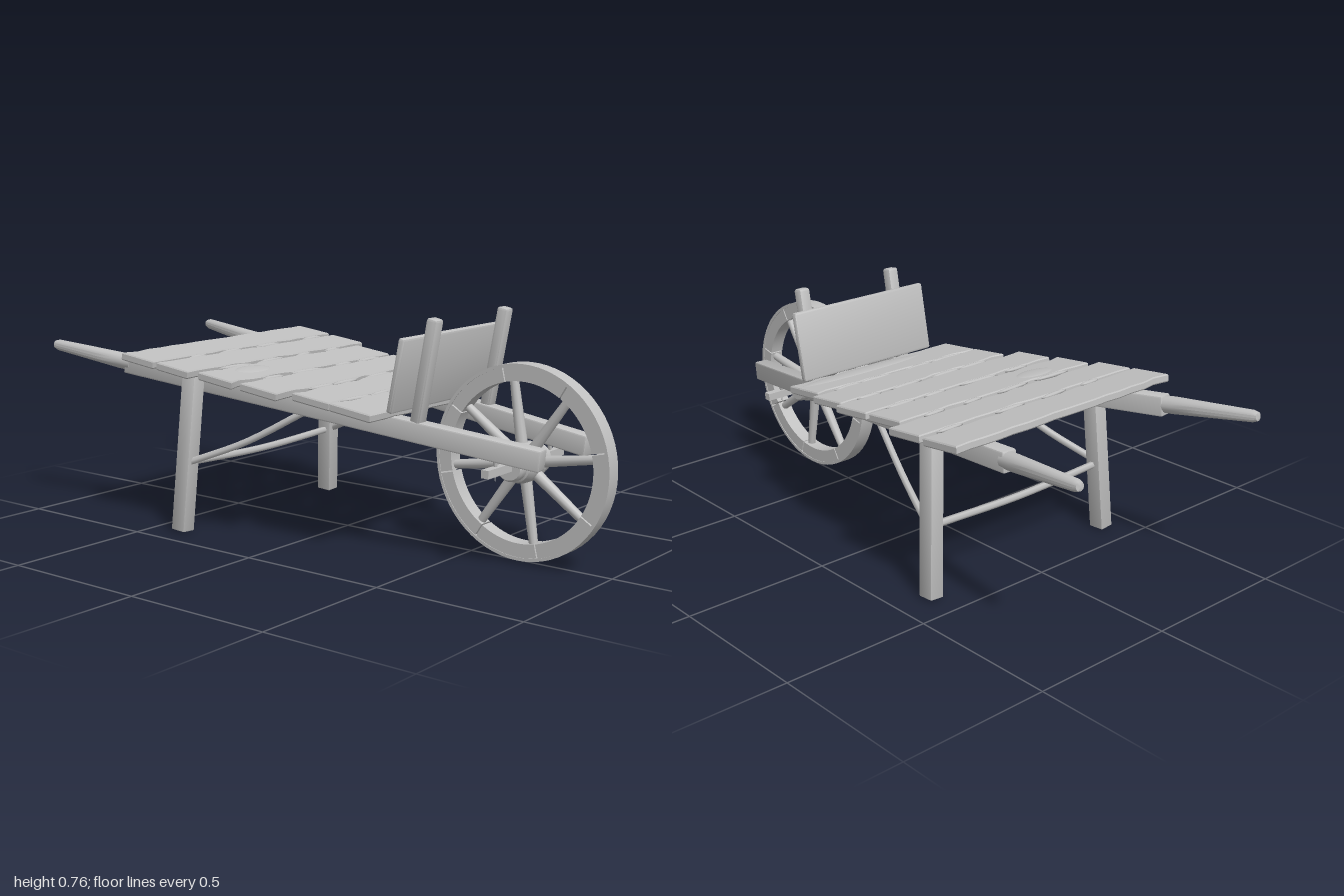
import * as THREE from 'three';
import { RoundedBoxGeometry } from 'three/addons/geometries/RoundedBoxGeometry.js';
import { toCreasedNormals } from 'three/addons/utils/BufferGeometryUtils.js';

const V = (x, y, z) => new THREE.Vector3(x, y, z);
const CX = -0.01; // the frame's mirror plane

function seeded(seed) {
  return () => {
    seed = (seed * 16807) % 2147483647;
    return seed / 2147483647;
  };
}

export function createModel() {
  const root = new THREE.Group();
  root.name = 'wheelbarrow';
  const wood = new THREE.MeshStandardMaterial({ color: 0xc0c0c0 });
  wood.name = 'plain wood';
  const rand = seeded(4177);

  function add(parent, name, geometry) {
    const mesh = new THREE.Mesh(geometry, wood);
    mesh.name = name;
    parent.add(mesh);
    return mesh;
  }

  // Place a mesh whose local y runs from a to b, keeping its x axis close to world x
  function aim(mesh, a, b) {
    const y = b.clone().sub(a).normalize();
    const z = V(1, 0, 0).cross(y).normalize();
    const x = y.clone().cross(z);
    mesh.quaternion.setFromRotationMatrix(new THREE.Matrix4().makeBasis(x, y, z));
    mesh.position.copy(a).add(b).multiplyScalar(0.5);
    return mesh;
  }

  function beam(name, a, b, width, depth, bevel = 0.005) {
    const geometry = toCreasedNormals(new RoundedBoxGeometry(width, a.distanceTo(b), depth, 1, bevel), 0.5);
    return aim(add(root, name, geometry), a, b);
  }

  // Rails, handles, legs, braces, posts and axle pins, mirrored
  for (const s of [1, -1]) {
    const side = s > 0 ? 'left' : 'right';
    const P = (x, y, z) => V(CX + s * x, y, z);
    beam(side + 'Rail', P(0.139, 0.36, 0.84), P(0.338, 0.533, -0.68), 0.05, 0.066);

    const a = P(0.338, 0.533, -0.66), b = P(0.386, 0.575, -1);
    const len = a.distanceTo(b);
    const profile = [[0, 0], [0.027, 0], [0.028, 0.05], [0.025, 0.14], [0.019, len - 0.02],
      [0.014, len - 0.005], [0, len]].map(([r, y]) => new THREE.Vector2(r, y - len / 2));
    aim(add(root, side + 'Handle', toCreasedNormals(new THREE.LatheGeometry(profile, 16), 0.7)), a, b);

    beam(side + 'Leg', P(0.384, 0.0, -0.392), P(0.352, 0.54, -0.357), 0.05, 0.056, 0.003);

    const brace = new THREE.CatmullRomCurve3([
      P(0.375, 0.235, -0.36), P(0.31, 0.315, -0.17), P(0.245, 0.43, 0.03)]);
    add(root, side + 'Brace', new THREE.TubeGeometry(brace, 10, 0.012, 6));

    beam(side + 'Post', P(0.195, 0.43, 0.432), P(0.195, 0.757, 0.494), 0.042, 0.038, 0.008);

    const pin = add(root, side + 'AxlePin', new THREE.ConeGeometry(0.011, 0.085, 6));
    pin.rotation.x = Math.PI;
    pin.position.copy(P(0.158, 0.318, 0.69));
  }

  // Bar between the legs, sagging a little
  const bar = new THREE.CatmullRomCurve3([V(-0.37, 0.23, -0.375), V(CX, 0.219, -0.375), V(0.35, 0.23, -0.375)]);
  add(root, 'legBar', new THREE.TubeGeometry(bar, 12, 0.012, 6));

  // Front board
  beam('frontBoard', V(CX, 0.468, 0.383), V(CX, 0.7, 0.43), 0.56, 0.022, 0.007);

  // Bed of rough planks: x range and z range of each
  const bed = new THREE.Group();
  bed.name = 'bed';
  bed.rotation.x = Math.atan(0.12);
  bed.position.y = 0.503;
  root.add(bed);
  const planks = [
    [-0.458, 0.458, -0.6, -0.455, 0.002], [-0.455, 0.45, -0.435, -0.295, -0.01],
    [-0.43, 0.39, -0.272, -0.125, -0.008], [-0.415, 0.39, -0.105, 0.045, -0.004],
    [-0.36, 0.365, 0.06, 0.205, 0.01], [-0.358, 0.333, 0.215, 0.372, -0.012]];
  planks.forEach(([x0, x1, z0, z1, yaw], i) => {
    const w = x1 - x0, h = z1 - z0, n = 16;
    const points = [];
    const edge = (from, dir, y) => {
      for (let k = 0; k <= n; k++) {
        const dent = k % n === 0 ? 0 : rand() * rand() * 0.016;
        points.push(new THREE.Vector2(from + dir * w * k / n, y - Math.sign(y) * dent));
      }
    };
    edge(-w / 2, 1, -h / 2);
    edge(w / 2, -1, h / 2);
    const geometry = new THREE.ExtrudeGeometry(new THREE.Shape(points), {
      depth: 0.018, bevelEnabled: true, bevelThickness: 0.004, bevelSize: 0.003,
      bevelOffset: -0.003, bevelSegments: 1 });
    geometry.translate(0, 0, -0.009).rotateX(-Math.PI / 2);
    const plank = add(bed, 'plank' + (i + 1), toCreasedNormals(geometry, 0.5));
    plank.position.set((x0 + x1) / 2, 0, (z0 + z1) / 2);
    plank.rotation.y = yaw;

    // Splinters lifting along the gap behind the plank
    if (i > 0) for (let k = 0; k < 4; k++) {
      const splinter = add(bed, 'splinter', new THREE.SphereGeometry(1, 8, 5));
      splinter.scale.set(0.04 + rand() * 0.045, 0.007, 0.009);
      splinter.position.set(x0 + w * (0.16 + 0.22 * k + 0.06 * rand()), 0.009, z0 - 0.006);
      splinter.rotation.y = (rand() - 0.5) * 0.16;
    }
  });

  // Worn knot and long worn patch on the planks
  const wear = [['knot', -0.235, -0.215, 0.078, 0.042], ['wornPatch', 0.06, 0.325, 0.275, 0.037]];
  for (const [name, x, z, rx, rz] of wear) {
    const patch = add(bed, name, new THREE.SphereGeometry(1, 20, 8));
    patch.scale.set(rx, 0.006, rz);
    patch.position.set(x, 0.011, z);
  }

  // Wheel, turning about x
  const wheel = new THREE.Group();
  wheel.name = 'wheel';
  wheel.position.set(CX, 0.313, 0.693);
  root.add(wheel);

  const ring = (r0, r1, a0, a1, width) => {
    const shape = new THREE.Shape();
    shape.absarc(0, 0, r1, a0, a1, false);
    shape.absarc(0, 0, r0, a1, a0, true);
    const geometry = new THREE.ExtrudeGeometry(shape, { depth: width, bevelEnabled: false, curveSegments: 10 });
    return toCreasedNormals(geometry.translate(0, 0, -width / 2).rotateY(Math.PI / 2), 0.5);
  };

  // Tyre: a closed hoop with a rectangular section
  const hoop = [[0.296, -0.027], [0.306, -0.027], [0.306, 0.027], [0.296, 0.027], [0.296, -0.027]];
  const tyre = new THREE.LatheGeometry(hoop.map(p => new THREE.Vector2(...p)), 64).rotateZ(Math.PI / 2);
  add(wheel, 'tyre', toCreasedNormals(tyre, 0.5));

  // Rim segments with narrow joints, and spokes
  const step = Math.PI / 4;
  for (let i = 0; i < 8; i++) {
    const a = i * step + 0.16;
    add(wheel, 'rimSegment', ring(0.252, 0.298, a + step / 2 + 0.008, a + step * 1.5 - 0.008, 0.05));
    const spoke = add(wheel, 'spoke', new THREE.CylinderGeometry(0.014, 0.019, 0.22, 10));
    spoke.position.set(0, Math.cos(a) * 0.15, -Math.sin(a) * 0.15);
    spoke.rotation.x = -a;
  }

  // Turned hub
  const half = [[0.063, 0], [0.062, 0.032], [0.056, 0.045], [0.054, 0.057], [0.048, 0.06],
    [0.048, 0.082], [0.042, 0.09], [0, 0.09]];
  const hubProfile = [...half.slice(1).reverse().map(([r, y]) => [r, -y]), ...half];
  const hub = new THREE.LatheGeometry(hubProfile.map(p => new THREE.Vector2(...p)), 24).rotateZ(Math.PI / 2);
  add(wheel, 'hub', toCreasedNormals(hub, 0.6));

  // Square axle
  add(wheel, 'axle', new THREE.BoxGeometry(0.44, 0.025, 0.025));

  return root;
}
